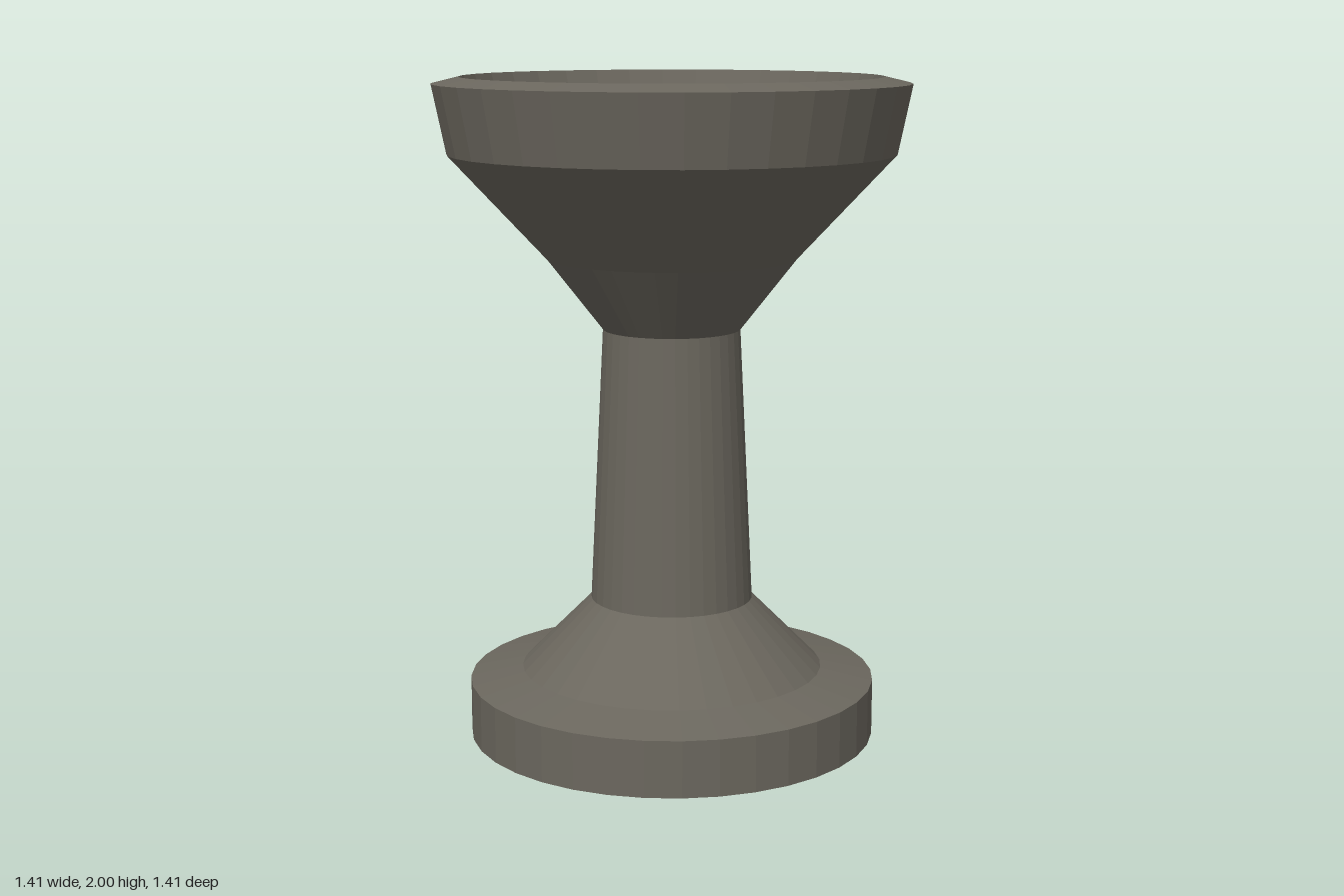
import * as THREE from 'three';

const SIDES = 36;

export function createModel() {
  const group = new THREE.Group();
  group.name = 'birdBath';

  const stone = new THREE.MeshStandardMaterial({ color: 0x6b675e, flatShading: true });
  stone.name = 'stone';
  const water = new THREE.MeshStandardMaterial({ color: 0xb0c6d2 });
  water.name = 'water';

  // Turned part from [radius, height] pairs, listed up the outside
  const turned = (name, profile) => {
    const points = profile.map(([r, y]) => new THREE.Vector2(r, y));
    const mesh = new THREE.Mesh(new THREE.LatheGeometry(points, SIDES), stone);
    mesh.name = name;
    group.add(mesh);
  };

  // Round plinth with a sloped shoulder
  turned('base', [[0, 0], [0.62, 0], [0.62, 0.17], [0.46, 0.205], [0.247, 0.42]]);

  // Tapered column
  turned('stem', [[0.247, 0.42], [0.207, 1.25]]);

  // Flared bowl: outside, sloped rim, inner wall and floor
  turned('bowl', [
    [0.207, 1.25], [0.375, 1.465], [0.665, 1.775], [0.707, 1.98],
    [0.625, 2], [0.562, 1.82], [0.54, 1.775], [0, 1.775],
  ]);

  // Water surface
  const surface = new THREE.Mesh(new THREE.CircleGeometry(0.562, SIDES), water);
  surface.name = 'waterSurface';
  surface.rotation.x = -Math.PI / 2;
  surface.position.y = 1.82;
  group.add(surface);

  return group;
}
